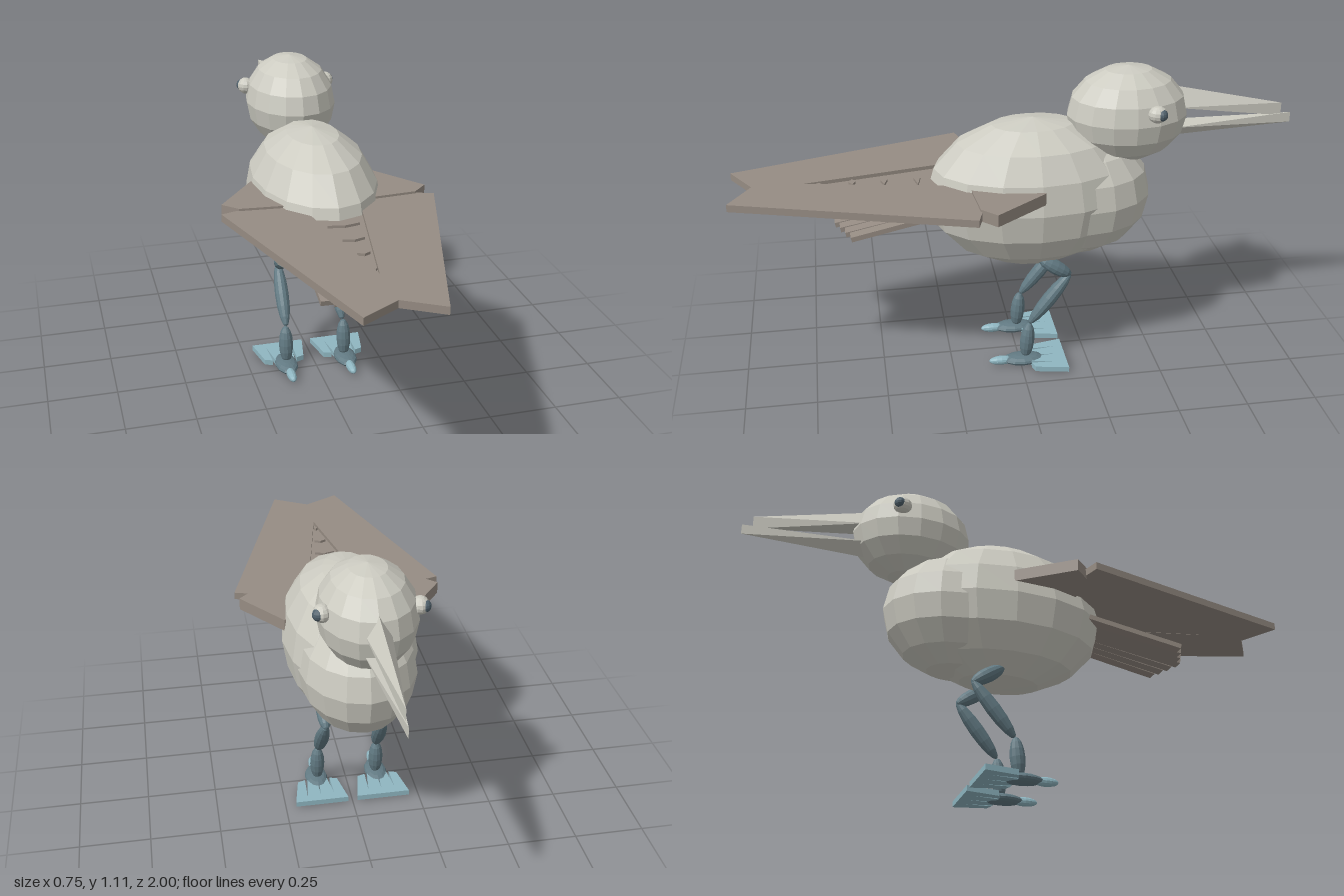
import * as THREE from 'three';
import { ConvexGeometry } from 'three/addons/geometries/ConvexGeometry.js';

const mat = (name, color) => {
  const m = new THREE.MeshStandardMaterial({ color, flatShading: true });
  m.name = name;
  return m;
};
const V = (x, y, z) => new THREE.Vector3(x, y, z);

export function createModel() {
  const plumage = mat('pale plumage', 0xcccbc1);
  const wingBrown = mat('wing brown', 0x968c83);
  const legBlue = mat('leg slate', 0x627a83);
  const footBlue = mat('foot blue', 0x8fb6c1);
  const pupilDark = mat('pupil slate', 0x50616c);

  const bird = new THREE.Group();
  bird.name = 'bird';
  const add = (name, geometry, material, parent = bird) => {
    const mesh = new THREE.Mesh(geometry, material);
    mesh.name = name;
    parent.add(mesh);
    return mesh;
  };
  // faceted ellipsoid with its poles on the y axis
  const ellipsoid = (name, pos, radii, material, seg = 16, rows = 8, parent = bird) => {
    const m = add(name, new THREE.SphereGeometry(1, seg, rows), material, parent);
    m.position.copy(pos);
    m.scale.copy(radii);
    return m;
  };
  // slim ellipsoid stretched between two points
  const limb = (name, a, b, r, material, parent) => {
    const d = b.clone().sub(a);
    const m = ellipsoid(name, a.clone().add(b).multiplyScalar(0.5),
      V(r, d.length() / 2, r), material, 12, 8, parent);
    m.quaternion.setFromUnitVectors(V(0, 1, 0), d.normalize());
    return m;
  };
  // horizontal plate from [x, z] corners, hanging down from its top height
  const plate = (name, pts, top, thick, material, parent = bird) => {
    const shape = new THREE.Shape(pts.map(([x, z]) => new THREE.Vector2(x, z)));
    const g = new THREE.ExtrudeGeometry(shape, { depth: thick, bevelEnabled: false });
    g.rotateX(Math.PI / 2);
    g.translate(0, top, 0);
    return add(name, g, material, parent);
  };

  // trunk and head
  ellipsoid('body', V(0, 0.662, -0.06), V(0.235, 0.277, 0.38), plumage);
  ellipsoid('chest', V(0, 0.645, -0.222), V(0.205, 0.23, 0.265), plumage);
  ellipsoid('head', V(0, 0.937, -0.395), V(0.165, 0.173, 0.215), plumage);

  // beak halves: triangular base, upright knife-edge tip
  add('upperBeak', new ConvexGeometry([
    V(0, 1.025, -0.56), V(-0.043, 0.957, -0.56), V(0.043, 0.957, -0.56),
    V(0, 0.936, -0.963), V(0, 0.888, -0.963)]), plumage);
  add('lowerBeak', new ConvexGeometry([
    V(0, 0.838, -0.56), V(-0.043, 0.882, -0.56), V(0.043, 0.882, -0.56),
    V(0, 0.898, -1), V(0, 0.861, -1)]), plumage);

  // wings: recessed middle between two long vanes
  plate('wingMiddle', [[-0.16, 0.15], [0.16, 0.15], [0.01, 0.8], [-0.01, 0.8]],
    0.728, 0.012, wingBrown);
  [[0.35, 0.055], [0.465, 0.037], [0.575, 0.022], [0.69, 0.008]].forEach(([z, w]) =>
    plate('wingRidge', [[-w, z], [0, z - 0.012], [w, z], [0, z + 0.012]], 0.737, 0.01, wingBrown));

  for (const s of [1, -1]) {
    const side = s > 0 ? 'left' : 'right';
    const mirror = pts => pts.map(([x, z]) => [x * s, z]);

    plate(side + 'LongFeathers', mirror([[0.12, 0.1], [0.3, 0.155], [0.375, 0.178],
      [0.128, 0.995], [0, 0.918], [0, 0.74]]), 0.741, 0.026, wingBrown);
    plate(side + 'ShoulderFeathers', mirror([[0.12, -0.06], [0.225, -0.07],
      [0.363, 0.115], [0.312, 0.165], [0.12, 0.18]]), 0.749, 0.043, wingBrown);

    // eye
    ellipsoid(side + 'Eye', V(s * 0.155, 0.982, -0.463), V(0.03, 0.03, 0.034), plumage, 12, 8);
    ellipsoid(side + 'Pupil', V(s * 0.167, 0.983, -0.474), V(0.021, 0.021, 0.021), pupilDark, 12, 8);

    // jointed leg
    const leg = new THREE.Group();
    leg.name = side + 'Leg';
    bird.add(leg);
    limb('thigh', V(s * 0.1, 0.43, -0.07), V(s * 0.102, 0.355, -0.187), 0.027, legBlue, leg);
    limb('shin', V(s * 0.104, 0.365, -0.185), V(s * 0.109, 0.168, -0.032), 0.026, legBlue, leg);
    limb('ankle', V(s * 0.112, 0.172, -0.032), V(s * 0.112, 0.025, -0.018), 0.027, legBlue, leg);
    ellipsoid('footJoint', V(s * 0.115, 0.023, -0.01), V(0.042, 0.019, 0.075), legBlue, 12, 8, leg);
    limb('backToe', V(s * 0.115, 0.022, 0.118), V(s * 0.115, 0.022, 0.025), 0.017, footBlue, leg);

    // webbed foot, split from behind between four toes
    const web = [[-0.098, -0.165], [0.098, -0.165], [0.075, -0.045]];
    for (const x of [0.042, 0, -0.042])
      web.push([x + 0.005, -0.035], [x * 1.2, -0.135], [x - 0.005, -0.035]);
    web.push([-0.075, -0.045]);
    plate('webbedFoot', web.map(([x, z]) => [x + s * 0.115, z]), 0.03, 0.02, footBlue, leg);
  }

  // sloping tail fan of side-by-side feathers, longest in the middle
  const tail = new THREE.Group();
  tail.name = 'tail';
  bird.add(tail);
  for (let i = -3; i <= 3; i++) {
    const root = V(i * 0.038, 0.66, 0.22);
    const tip = V(i * 0.0405, 0.583, 0.643 - Math.abs(i) * 0.017);
    const f = add('tailFeather', new THREE.BoxGeometry(0.042, 0.018, root.distanceTo(tip)), wingBrown, tail);
    f.position.copy(root).add(tip).multiplyScalar(0.5);
    f.lookAt(tip);
  }
  return bird;
}
